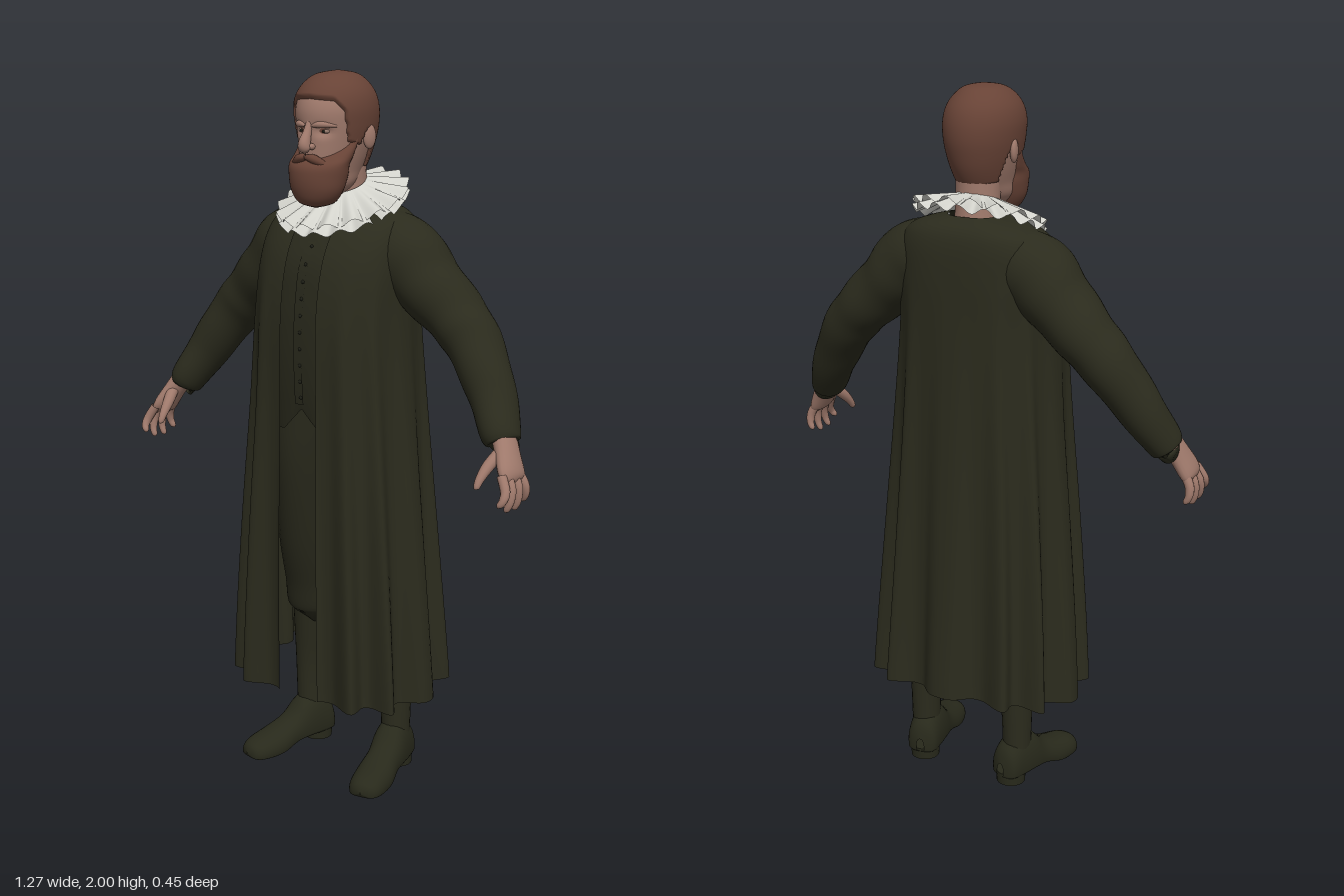
import * as THREE from 'three';
import { mergeVertices } from 'three/addons/utils/BufferGeometryUtils.js';
import { ParametricGeometry } from 'three/addons/geometries/ParametricGeometry.js';

const { clamp, lerp, smoothstep } = THREE.MathUtils;
const V = (x, y, z) => new THREE.Vector3(x, y, z);
const material = (name, color) => {
  const m = new THREE.MeshStandardMaterial({ color, side: THREE.DoubleSide });
  m.name = name;
  return m;
};

// Smooth interpolation of numeric rows, column by column
function sample(rows, t) {
  const s = clamp(t, 0, 1) * (rows.length - 1);
  const i = Math.min(Math.floor(s), rows.length - 2), f = s - i;
  const row = k => rows[clamp(k, 0, rows.length - 1)];
  return rows[0].map((_, c) => {
    const [a, b, d, e] = [row(i - 1)[c], row(i)[c], row(i + 1)[c], row(i + 2)[c]];
    return b + 0.5 * f * (d - a + f * (2 * a - 5 * b + 4 * d - e + f * (3 * (b - d) + e - a)));
  });
}

// Smooth welded surface from a function (u, v) -> Vector3
function surface(fn, nu, nv) {
  const g = new ParametricGeometry((u, v, out) => out.copy(fn(u, v)), nu, nv);
  g.deleteAttribute('uv');
  g.deleteAttribute('normal');
  const welded = mergeVertices(g, 1e-5);
  welded.computeVertexNormals();
  return welded;
}

// Point on a stack of rounded sections; rows run upwards as [y, halfWidth, zBack, zFront]
const power = (c, e) => Math.sign(c) * Math.abs(c) ** e;
function sectionPoint(rows, angle, v, e = 1) {
  const [y, w, zb, zf] = sample(rows, v);
  return V(w * power(Math.sin(angle), e), y, (zb + zf) / 2 + (zf - zb) / 2 * power(Math.cos(angle), e));
}
const loft = (rows, nu, nv, e = 1, warp = p => p) =>
  surface((u, v) => warp(sectionPoint(rows, u * 2 * Math.PI, v, e), u, v), nu, nv);

// Limb along a spine; rows are [x, y, z, radiusAcross, radiusTowardsZ]
function limb(rows, nu = 20, nv = 24, ripple = 0) {
  return surface((u, v) => {
    const [x, y, z, ra, rb] = sample(rows, v);
    const p = sample(rows, v - 0.01), q = sample(rows, v + 0.01);
    const T = V(q[0] - p[0], q[1] - p[1], q[2] - p[2]).normalize();
    const B = V(0, 0, 1).addScaledVector(T, -T.z).normalize();
    const N = B.clone().cross(T);
    const a = u * 2 * Math.PI, k = 1 + ripple * Math.sin(v * 38 + Math.sin(a) * 2);
    return V(x, y, z).addScaledVector(N, ra * k * Math.cos(a)).addScaledVector(B, rb * k * Math.sin(a));
  }, nu, nv);
}

const HEAD = [[1.66, 0.02, 0.05, 0.1], [1.70, 0.058, -0.02, 0.14], [1.74, 0.068, -0.055, 0.145],
  [1.78, 0.08, -0.077, 0.148], [1.82, 0.09, -0.09, 0.148], [1.86, 0.097, -0.097, 0.15],
  [1.90, 0.099, -0.095, 0.15], [1.935, 0.091, -0.083, 0.138], [1.963, 0.072, -0.06, 0.114],
  [1.982, 0.045, -0.03, 0.078], [1.99, 0.001, 0.019, 0.021]];
const BEARD = [[1.645, 0.002, 0.11, 0.12], [1.658, 0.048, 0.07, 0.158], [1.69, 0.073, 0.05, 0.174],
  [1.73, 0.083, 0.035, 0.178], [1.76, 0.087, 0.035, 0.17], [1.783, 0.09, 0.03, 0.135],
  [1.82, 0.095, 0.035, 0.085], [1.86, 0.098, 0.04, 0.075]];
const DOUBLET = [[1.04, 0.16, -0.1, 0.185], [1.16, 0.165, -0.12, 0.195], [1.28, 0.17, -0.13, 0.198],
  [1.40, 0.17, -0.13, 0.19], [1.52, 0.16, -0.12, 0.16], [1.64, 0.09, -0.08, 0.06]];
// Gown rows carry the half width of the front opening as a fifth number
const GOWN = [[0.268, 0.282, -0.202, 0.218, 0.07], [0.5, 0.273, -0.19, 0.217, 0.068], [0.8, 0.256, -0.178, 0.214, 0.065],
  [1.1, 0.236, -0.167, 0.207, 0.062], [1.35, 0.222, -0.158, 0.202, 0.06], [1.5, 0.22, -0.154, 0.174, 0.06],
  [1.59, 0.208, -0.145, 0.125, 0.06], [1.635, 0.165, -0.125, 0.075, 0.055], [1.66, 0.07, -0.085, 0.04, 0.04]];
const SHOE = [[-0.12, 0.012, 0.03, 0.07], [-0.105, 0.042, 0.022, 0.115], [-0.06, 0.05, 0.02, 0.15],
  [-0.01, 0.052, 0.022, 0.145], [0.04, 0.05, 0.02, 0.1], [0.1, 0.056, 0.004, 0.075],
  [0.16, 0.05, 0.002, 0.06], [0.19, 0.033, 0.006, 0.045], [0.2, 0.002, 0.02, 0.024]];
// Lower edge of the hair: [degrees from the face, height]
const HAIRLINE = [[0, 1.93], [40, 1.925], [54, 1.9], [62, 1.82], [84, 1.81], [92, 1.85], [106, 1.82], [120, 1.75], [180, 1.735]];
function hairlineAt(deg) {
  const i = Math.max(1, HAIRLINE.findIndex(h => deg <= h[0]));
  const [a, b] = [HAIRLINE[i - 1], HAIRLINE[i]];
  return lerp(a[1], b[1], clamp((deg - a[0]) / (b[0] - a[0]), 0, 1));
}

export function createModel() {
  const skin = material('skin', 0xa07a6c), hair = material('hair', 0x684336);
  const cloth = material('dark cloth', 0x2b2b1d), inner = material('inner cloth', 0x28281b);
  const leather = material('shoe leather', 0x28291b), linen = material('linen', 0xd2d2cb);
  const dark = material('dark trim', 0x1e1f17), eyeWhite = material('eye white', 0x94796c);
  const model = new THREE.Group();
  const add = (name, geometry, mat, parent = model) => {
    const mesh = new THREE.Mesh(geometry, mat);
    mesh.name = name;
    parent.add(mesh);
    return mesh;
  };
  const ball = (name, mat, pos, scale, parent = model) => {
    const m = add(name, new THREE.SphereGeometry(1, 20, 14), mat, parent);
    m.position.set(...pos);
    m.scale.set(...scale);
    return m;
  };

  // Head with eye sockets, close-cropped hair and full beard
  const head = new THREE.Group();
  head.name = 'head';
  model.add(head);
  add('face', loft(HEAD, 72, 60, 1, p => {
    const d = ((Math.abs(p.x) - 0.037) / 0.02) ** 2 + ((p.y - 1.848) / 0.014) ** 2;
    if (p.z > 0.05) p.z -= 0.013 * Math.exp(-d);
    return p;
  }), skin, head);
  const centre = V(0, 1.84, 0.02);
  add('hair', loft(HEAD, 120, 90, 1, (p, u) => {
    const edge = hairlineAt(Math.min(u, 1 - u) * 360);
    const k = lerp(0.93, 1.07, smoothstep(p.y, edge - 0.006, edge + 0.006));
    return p.sub(centre).multiplyScalar(k).add(centre);
  }), hair, head);
  add('beard', loft(BEARD, 48, 36), hair, head);
  add('neck', limb([[0, 1.58, -0.02, 0.065, 0.065], [0, 1.68, -0.01, 0.06, 0.062], [0, 1.78, 0, 0.062, 0.07]]), skin, head);
  add('nose', limb([[0, 1.872, 0.142, 0.01, 0.008], [0, 1.845, 0.153, 0.011, 0.012], [0, 1.815, 0.166, 0.016, 0.018],
    [0, 1.803, 0.162, 0.016, 0.015], [0, 1.796, 0.152, 0.003, 0.003]]), skin, head);
  for (const s of [1, -1]) {
    ball('nostril', skin, [s * 0.013, 1.808, 0.153], [0.009, 0.009, 0.013], head);
    ball('eye', eyeWhite, [s * 0.037, 1.847, 0.12], [0.014, 0.007, 0.013], head);
    ball('iris', dark, [s * 0.037, 1.847, 0.1315], [0.004, 0.004, 0.003], head);
    add('brow', limb([[s * 0.01, 1.861, 0.149, 0.003, 0.003], [s * 0.035, 1.865, 0.141, 0.009, 0.009],
      [s * 0.068, 1.861, 0.114, 0.003, 0.003]], 12, 14), skin, head);
    add('moustache', limb([[0, 1.781, 0.158, 0.007, 0.01], [s * 0.025, 1.776, 0.156, 0.012, 0.014],
      [s * 0.062, 1.755, 0.135, 0.005, 0.006]], 12, 14), hair, head);
    ball('ear', skin, [s * 0.098, 1.83, 0.012], [0.011, 0.033, 0.02], head).rotation.y = s * -0.3;
  }

  // Pleated ruff, two tilted layers meeting in loops
  for (const [phase, drop] of [[0, 0], [Math.PI, 0.02]]) {
    add('ruff', surface((u, v) => {
      const a = u * 2 * Math.PI, wave = Math.cos(16 * a + phase);
      const r = 0.062 + 0.112 * v + 0.005 * v * wave, z = r * Math.cos(a);
      return V(r * Math.sin(a) * 1.03, 1.7 - (0.04 + drop) * v + 0.009 * v * wave - 0.35 * z, z);
    }, 224, 8), linen);
  }

  // Long gown, open in front, with rounded folds that deepen towards the hem
  const bend = 0.72;
  add('gown', surface((u, v) => {
    const [, w, , , gap] = sample(GOWN, v);
    const start = Math.asin((gap / w) ** (1 / bend));
    const a = lerp(start, 2 * Math.PI - start, u);
    const p = sectionPoint(GOWN, a, v, bend);
    const ridge = ((1 + Math.cos(12 * a)) / 2) ** 1.5 - 0.4;
    const fold = 1 + 0.21 * clamp((1.5 - p.y) / 1.2, 0, 1) * ridge;
    return V(p.x * fold, p.y + 0.03 * Math.max(0, -Math.cos(a)) * (1 - v) ** 4, p.z * fold);
  }, 240, 60), cloth);

  // Doublet with a notched lower edge, centre placket and buttons
  add('doublet', loft(DOUBLET, 64, 30, 0.75, (p, u, v) => {
    p.y += (1 - v) ** 5 * Math.max(0, 0.065 - Math.abs(p.x));
    return p;
  }), inner);
  const frontZ = y => sample(DOUBLET, (y - 1.04) / 0.6)[3];
  add('placket', surface((u, v) => {
    const y = lerp(1.12, 1.56, v);
    return V((u - 0.5) * 0.028, y, frontZ(y) + 0.003);
  }, 2, 20), inner);
  for (let i = 0; i < 10; i++) {
    const y = 1.14 + i * 0.045;
    ball('button', dark, [0.007, y, frontZ(y) + 0.003], [0.005, 0.005, 0.004]);
  }

  for (const s of [1, -1]) {
    const side = rows => rows.map(([x, ...rest]) => [x * s, ...rest]);

    // Sleeve
    add('sleeve', limb(side([[0.1, 1.545, -0.02, 0.09, 0.09], [0.185, 1.52, -0.025, 0.106, 0.105],
      [0.265, 1.447, -0.03, 0.092, 0.1], [0.35, 1.368, -0.038, 0.08, 0.09], [0.415, 1.298, -0.03, 0.073, 0.082],
      [0.49, 1.187, 0.002, 0.062, 0.07], [0.55, 1.083, 0.045, 0.047, 0.058], [0.552, 1.079, 0.045, 0.028, 0.03]]), 32, 70, 0.018), cloth);

    // Hand with four fingers and a thumb
    const hand = new THREE.Group();
    hand.name = 'hand';
    model.add(hand);
    add('palm', limb(side([[0.548, 1.11, 0.042, 0.03, 0.036], [0.58, 1.055, 0.065, 0.026, 0.043],
      [0.606, 1.005, 0.084, 0.022, 0.05], [0.614, 0.985, 0.088, 0.008, 0.035]])), skin, hand);
    [[0.128, 0.158, 0.94], [0.103, 0.122, 0.92], [0.076, 0.082, 0.917], [0.052, 0.04, 0.93]].forEach(([z0, z1, y]) =>
      add('finger', limb(side([[0.603, 1.01, z0, 0.013, 0.013], [0.622, 0.975, lerp(z0, z1, 0.4), 0.013, 0.013],
        [0.624, lerp(y, 0.975, 0.4), lerp(z0, z1, 0.8), 0.011, 0.011], [0.616, y, z1, 0.008, 0.008],
        [0.615, y - 0.006, z1, 0.001, 0.001]]), 12, 16), skin, hand));
    add('thumb', limb(side([[0.575, 1.065, 0.075, 0.018, 0.018], [0.559, 1.03, 0.118, 0.016, 0.016],
      [0.552, 1.0, 0.148, 0.012, 0.012], [0.55, 0.978, 0.163, 0.008, 0.008], [0.55, 0.973, 0.165, 0.001, 0.001]]), 12, 16), skin, hand);

    // Breeches gathered below the knee, and stocking
    add('breeches', limb(side([[0.075, 1.25, 0.03, 0.08, 0.13], [0.088, 1.08, 0.03, 0.09, 0.13], [0.096, 0.92, 0.025, 0.088, 0.125],
      [0.112, 0.7, 0.01, 0.084, 0.1], [0.122, 0.55, -0.015, 0.078, 0.085], [0.128, 0.46, -0.025, 0.072, 0.076],
      [0.13, 0.455, -0.025, 0.04, 0.05]]), 28, 40), inner);
    add('stocking', limb(side([[0.134, 0.52, -0.025, 0.055, 0.06], [0.146, 0.38, -0.046, 0.054, 0.06],
      [0.155, 0.25, -0.05, 0.045, 0.05], [0.157, 0.1, -0.05, 0.04, 0.044]])), cloth);

    // Shoe turned slightly outwards, with a block heel
    const shoe = new THREE.Group();
    shoe.name = 'shoe';
    shoe.position.x = s * 0.165;
    shoe.rotation.y = s * 0.22;
    model.add(shoe);
    add('upper', surface((u, v) => {
      const [z, w, y0, y1] = sample(SHOE, v), a = u * 2 * Math.PI, sn = Math.sin(a);
      const y = sn < 0 ? power(sn, 0.35) : sn;
      return V(w * power(Math.cos(a), 0.85), lerp(y0, y1, sn < 0 ? 0.3 + 0.3 * y : 0.3 + 0.7 * y), z);
    }, 32, 32), leather, shoe);
    const heel = add('heel', new THREE.CylinderGeometry(0.044, 0.042, 0.036, 24), leather, shoe);
    heel.position.set(0, 0.018, -0.073);
  }
  return model;
}
